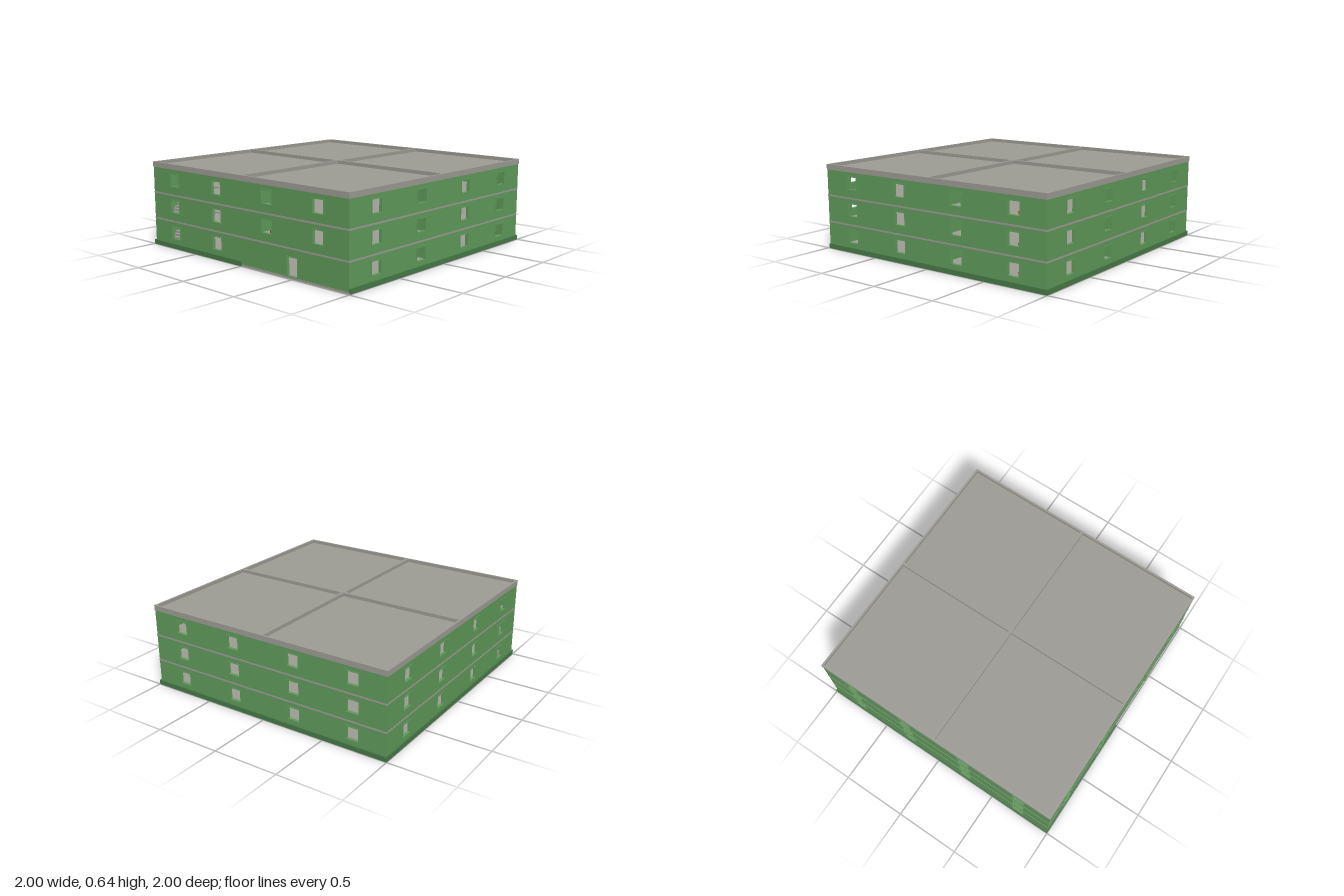
import * as THREE from 'three';

const mat = (color) => new THREE.MeshStandardMaterial({ color });
const green = mat(0x5f9a5a), darkGreen = mat(0x477a46), stone = mat(0x9c9b94);
const orange = mat(0xc0622e), blue = mat(0x2f6fb5), brown = mat(0x8a4a2c);

const WALL = 0.99, THICK = 0.015, STOREY = 0.2, SLAB = 0.012;
const WINDOWS = [-0.735, -0.26, 0.255, 0.73];

function add(parent, name, geometry, material, x = 0, y = 0, z = 0) {
  const mesh = new THREE.Mesh(geometry, material);
  mesh.name = name;
  mesh.position.set(x, y, z);
  parent.add(mesh);
  return mesh;
}

// Box given by its minimum and maximum corners
function block(parent, name, material, x0, x1, y0, y1, z0, z1) {
  const geometry = new THREE.BoxGeometry(x1 - x0, y1 - y0, z1 - z0);
  return add(parent, name, geometry, material, (x0 + x1) / 2, (y0 + y1) / 2, (z0 + z1) / 2);
}

function rect(Type, x0, x1, y0, y1) {
  const r = new Type();
  r.moveTo(x0, y0);
  r.lineTo(x1, y0);
  r.lineTo(x1, y1);
  r.lineTo(x0, y1);
  r.closePath();
  return r;
}

// Flat panel with rectangular holes, each [x0, x1, y0, y1]
function panel(x0, x1, y0, y1, depth, holes) {
  const shape = rect(THREE.Shape, x0, x1, y0, y1);
  holes.forEach((h) => shape.holes.push(rect(THREE.Path, ...h)));
  return new THREE.ExtrudeGeometry(shape, { depth, bevelEnabled: false });
}

const windowHole = (x) => [x - 0.05, x + 0.05, 0.07, 0.168];
const doorHole = (x) => [x - 0.05, x + 0.05, 0.015, 0.15];

// Outer wall of one storey, with a slim frame round each opening
function outerWall(name, holes, halfWidth) {
  const g = new THREE.Group();
  g.name = name;
  add(g, 'wallPanel', panel(-halfWidth, halfWidth, SLAB, STOREY, THICK, holes), green, 0, 0, WALL - THICK);
  holes.forEach(([a, b, c, d]) => {
    const t = 0.003;
    const frame = panel(a - t, b + t, c - t, d + t, THICK + 0.008, [[a + t, b - t, c + t, d - t]]);
    add(g, 'openingFrame', frame, green, 0, 0, WALL - THICK - 0.003);
  });
  return g;
}

// Table: a top on four legs
function table(parent, name, material, x, y, z, w, h, d) {
  const g = new THREE.Group();
  g.name = name;
  g.position.set(x, y, z);
  block(g, 'tableTop', material, -w / 2, w / 2, h - 0.012, h, -d / 2, d / 2);
  for (const sx of [-1, 1]) for (const sz of [-1, 1]) {
    add(g, 'tableLeg', new THREE.BoxGeometry(0.01, h - 0.012, 0.01), material,
      sx * (w / 2 - 0.008), (h - 0.012) / 2, sz * (d / 2 - 0.008));
  }
  parent.add(g);
}

// Straight flight climbing towards the back
function stairs() {
  const g = new THREE.Group();
  g.name = 'stairs';
  const n = 12, rise = STOREY / n, run = 0.026;
  for (let i = 0; i < n; i++) {
    const z = 0.9 - i * run, top = SLAB + (i + 1) * rise;
    block(g, 'step', stone, -0.97, -0.723, Math.max(SLAB, top - 2 * rise), top, z - run, z);
  }
  return g;
}

function createModel() {
  const model = new THREE.Group();
  model.name = 'building';
  const sides = ['frontWall', 'leftWall', 'backWall', 'rightWall'];

  for (let floor = 0; floor < 3; floor++) {
    const storey = new THREE.Group();
    storey.name = 'storey' + (floor + 1);
    storey.position.y = floor * STOREY;
    model.add(storey);

    // Floor slab, with a stairwell on the upper storeys
    const well = floor ? [[-0.972, -0.72, -0.92, -0.56]] : [];
    const slab = add(storey, 'floorSlab', panel(-0.992, 0.992, -0.992, 0.992, SLAB, well), stone);
    slab.rotation.x = -Math.PI / 2;

    // Four outer walls; the entrance replaces two front windows
    sides.forEach((name, i) => {
      const sign = i === 1 || i === 2 ? -1 : 1;
      const holes = WINDOWS.map((x) => windowHole(x * sign));
      if (i === 0 && floor === 0) holes.splice(2, 2, doorHole(0.495));
      const wall = outerWall(name, holes, i % 2 ? WALL - THICK : WALL);
      wall.rotation.y = i * Math.PI / 2;
      storey.add(wall);
    });

    // Inner partitions with doorways
    const long = panel(-0.975, 0.975, SLAB, STOREY, 0.02, [doorHole(-0.495), doorHole(0.495)]);
    add(storey, 'longPartition', long, green, -0.01).rotation.y = Math.PI / 2;
    const short = panel(0.01, 0.975, SLAB, STOREY, 0.02, [doorHole(0.495)]);
    add(storey, 'shortPartition', short, green, 0, 0, -0.01);

    if (floor < 2) storey.add(stairs());

    // Furniture
    table(storey, 'sideTable', orange, 0.85, SLAB, -0.745, 0.12, floor === 1 ? 0.062 : 0.07, 0.07);
    table(storey, 'diningTable', brown, -0.86, SLAB, -0.3, 0.12, 0.06, 0.2);
  }

  // Bed by the top front window and a low bench on the storey beneath
  block(model, 'bed', blue, 0.2, 0.32, 0.412, 0.455, 0.78, 0.92);
  block(model, 'bench', brown, 0.21, 0.27, 0.212, 0.275, 0.85, 0.92);

  // Plinth along the sides, the back and half of the front
  const P = 1, H = 0.035;
  block(model, 'leftPlinth', darkGreen, WALL, P, 0, H, -P, WALL);
  block(model, 'rightPlinth', darkGreen, -P, -WALL, 0, H, -P, P);
  block(model, 'backPlinth', darkGreen, -WALL, WALL, 0, H, -P, -WALL);
  block(model, 'frontPlinth', darkGreen, -WALL, 0, 0, H, WALL, P);

  // Roof deck with a parapet rim and four recessed bays
  const R = 0.993, c = 0.978, m = 0.012;
  block(model, 'roofDeck', stone, -R, R, 0.6, 0.614, -R, R);
  const bays = [];
  for (const x of [[-c, -m], [m, c]]) for (const y of [[-c, -m], [m, c]]) bays.push([...x, ...y]);
  const parapet = add(model, 'parapet', panel(-R, R, -R, R, 0.026, bays), stone, 0, 0.614, 0);
  parapet.rotation.x = -Math.PI / 2;

  return model;
}

export { createModel };
